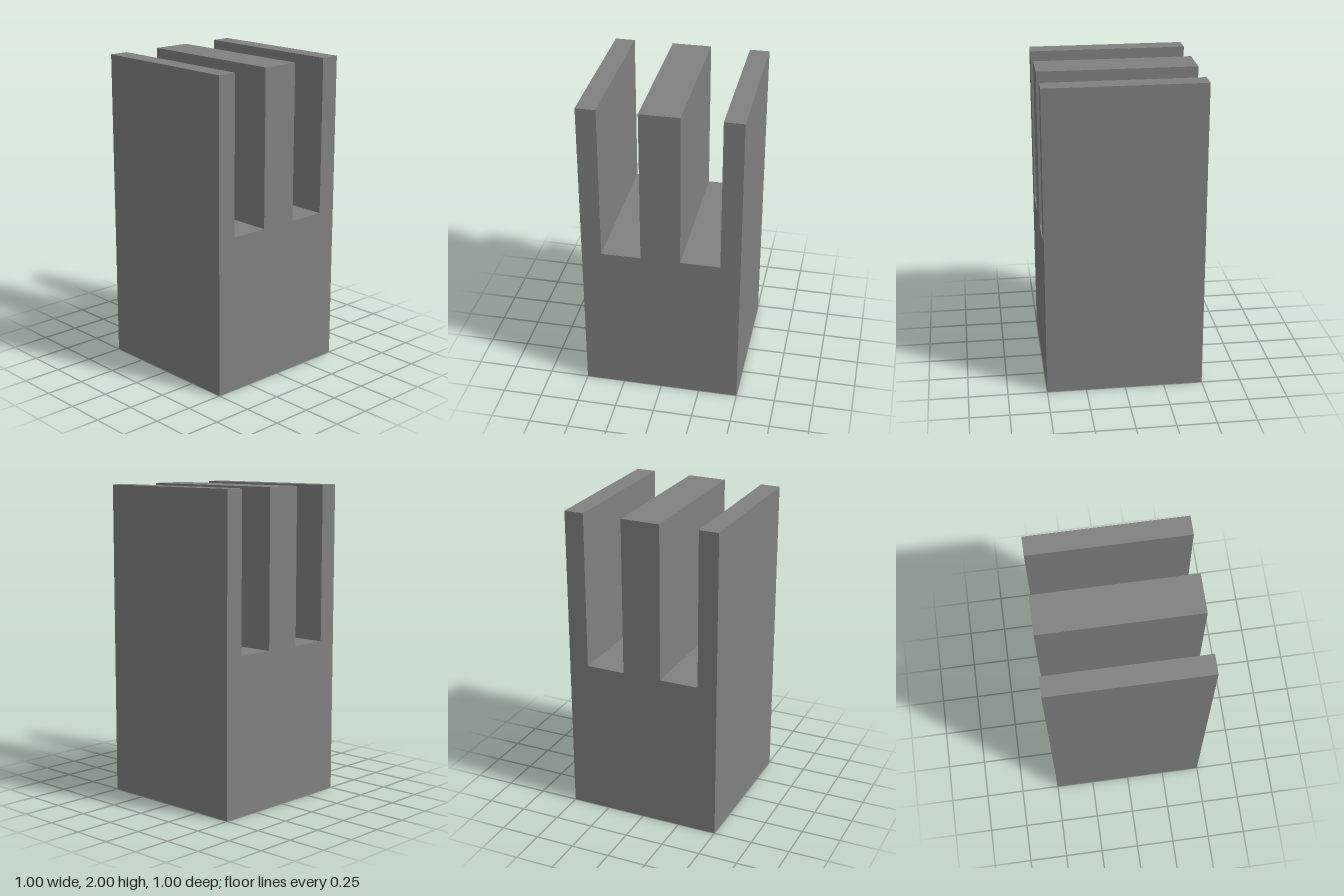
import * as THREE from 'three';

export function createModel() {
  const group = new THREE.Group();
  group.name = 'slottedBlock';

  const grey = new THREE.MeshStandardMaterial({ color: 0x808080 });
  grey.name = 'grey';

  // Front outline: solid base with a thick centre prong and two thin side prongs
  const size = 1, height = 2, slotFloor = 1;
  const outer = 0.375, inner = 0.125; // slot walls, mirrored in x
  const right = [
    [inner, height], [inner, slotFloor], [outer, slotFloor],
    [outer, height], [size / 2, height], [size / 2, 0],
  ];
  const left = right.map(([x, y]) => [-x, y]).reverse();
  const outline = [...left, ...right].map(([x, y]) => new THREE.Vector2(x, y));

  // Slots run right through from front to back
  const geometry = new THREE.ExtrudeGeometry(new THREE.Shape(outline), {
    depth: size,
    bevelEnabled: false,
  });
  geometry.translate(0, 0, -size / 2);

  const block = new THREE.Mesh(geometry, grey);
  block.name = 'prongedBlock';
  group.add(block);
  return group;
}
